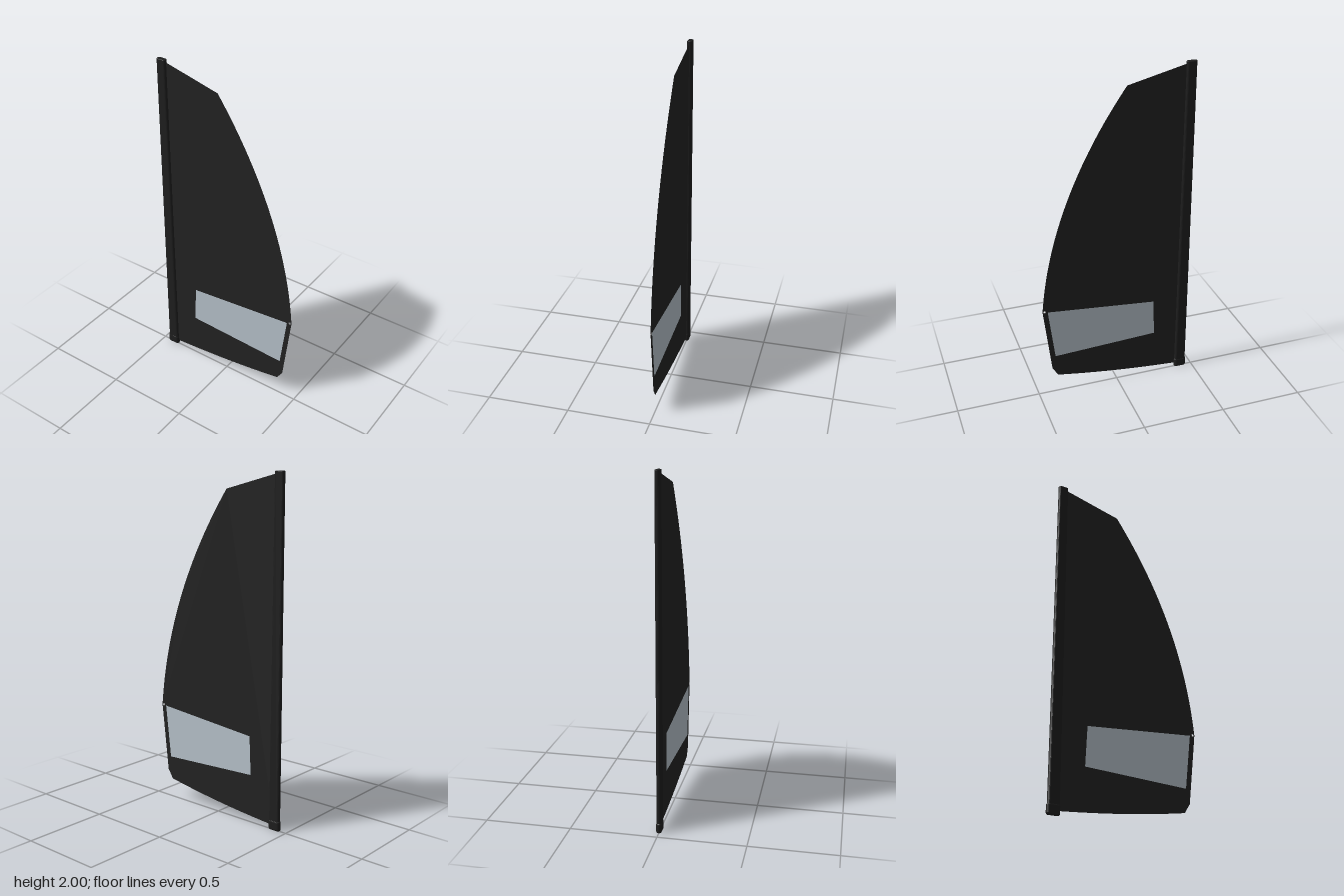
import * as THREE from 'three';

const V = (x, y) => new THREE.Vector2(x, y);

// Rounded slot outline in x / depth
function slotShape(x0, x1, halfDepth) {
  const r = halfDepth, s = new THREE.Shape();
  s.absarc(x1 - r, 0, r, -Math.PI / 2, Math.PI / 2, false);
  s.absarc(x0 + r, 0, r, Math.PI / 2, Math.PI * 1.5, false);
  s.closePath();
  return s;
}

// Slot extruded upward from y0 to y1 with rounded ends
function uprightSlot(x0, x1, halfDepth, y0, y1, bevel) {
  const geo = new THREE.ExtrudeGeometry(slotShape(x0 + bevel, x1 - bevel, halfDepth - bevel), {
    depth: y1 - y0 - 2 * bevel, curveSegments: 8,
    bevelEnabled: true, bevelThickness: bevel, bevelSize: bevel, bevelSegments: 3,
  });
  geo.rotateX(-Math.PI / 2);
  geo.translate(0, y0 + bevel, 0);
  return geo;
}

export function createModel() {
  const cloth = new THREE.MeshStandardMaterial({ color: 0x222222, side: THREE.DoubleSide });
  const sleeveMat = new THREE.MeshStandardMaterial({ color: 0x1e1e1e });
  const clear = new THREE.MeshStandardMaterial({ color: 0xb6c1ca, side: THREE.DoubleSide });
  const metal = new THREE.MeshStandardMaterial({ color: 0x777777 });
  const model = new THREE.Group();
  const add = (name, geo, mat) => {
    const mesh = new THREE.Mesh(geo, mat);
    mesh.name = name;
    model.add(mesh);
    return mesh;
  };

  // Sail cloth: curved trailing edge, cut-off lower corner, openings for window and eyelet
  const eyelet = V(0.444, 0.58);
  const sail = new THREE.Shape();
  sail.moveTo(-0.42, 0.024);
  sail.quadraticCurveTo(0.0, 0.05, 0.375, 0.115);
  sail.lineTo(0.41, 0.17);
  sail.lineTo(0.456, 0.58);
  sail.quadraticCurveTo(0.39, 1.28, -0.06, 1.9);
  sail.lineTo(-0.42, 1.99);
  sail.closePath();
  const pane = [V(-0.245, 0.285), V(0.388, 0.255), V(0.425, 0.575), V(-0.235, 0.515)];
  sail.holes.push(new THREE.Path(pane.slice().reverse()));
  const eye = new THREE.Path();
  eye.absarc(eyelet.x, eyelet.y, 0.005, 0, Math.PI * 2, true);
  sail.holes.push(eye);
  add('sail', new THREE.ShapeGeometry(sail, 32), cloth);

  // Clear window panel
  add('window', new THREE.ShapeGeometry(new THREE.Shape(pane)), clear);

  // Eyelet ring at the trailing corner
  const ring = add('eyelet', new THREE.TorusGeometry(0.007, 0.002, 6, 16), metal);
  ring.position.set(eyelet.x, eyelet.y, 0);

  // Mast sleeve, narrowing slightly towards the top
  const sleeve = uprightSlot(-0.457, -0.386, 0.014, 0.04, 2, 0.003);
  const p = sleeve.attributes.position;
  for (let i = 0; i < p.count; i++) {
    const k = 1 - 0.16 * (p.getY(i) / 2);
    p.setX(i, -0.457 + (p.getX(i) + 0.457) * k);
  }
  sleeve.computeVertexNormals();
  add('mastSleeve', sleeve, sleeveMat);

  // Rounded foot of the mast
  add('mastFoot', uprightSlot(-0.461, -0.384, 0.016, 0, 0.06, 0.01), sleeveMat);

  return model;
}
